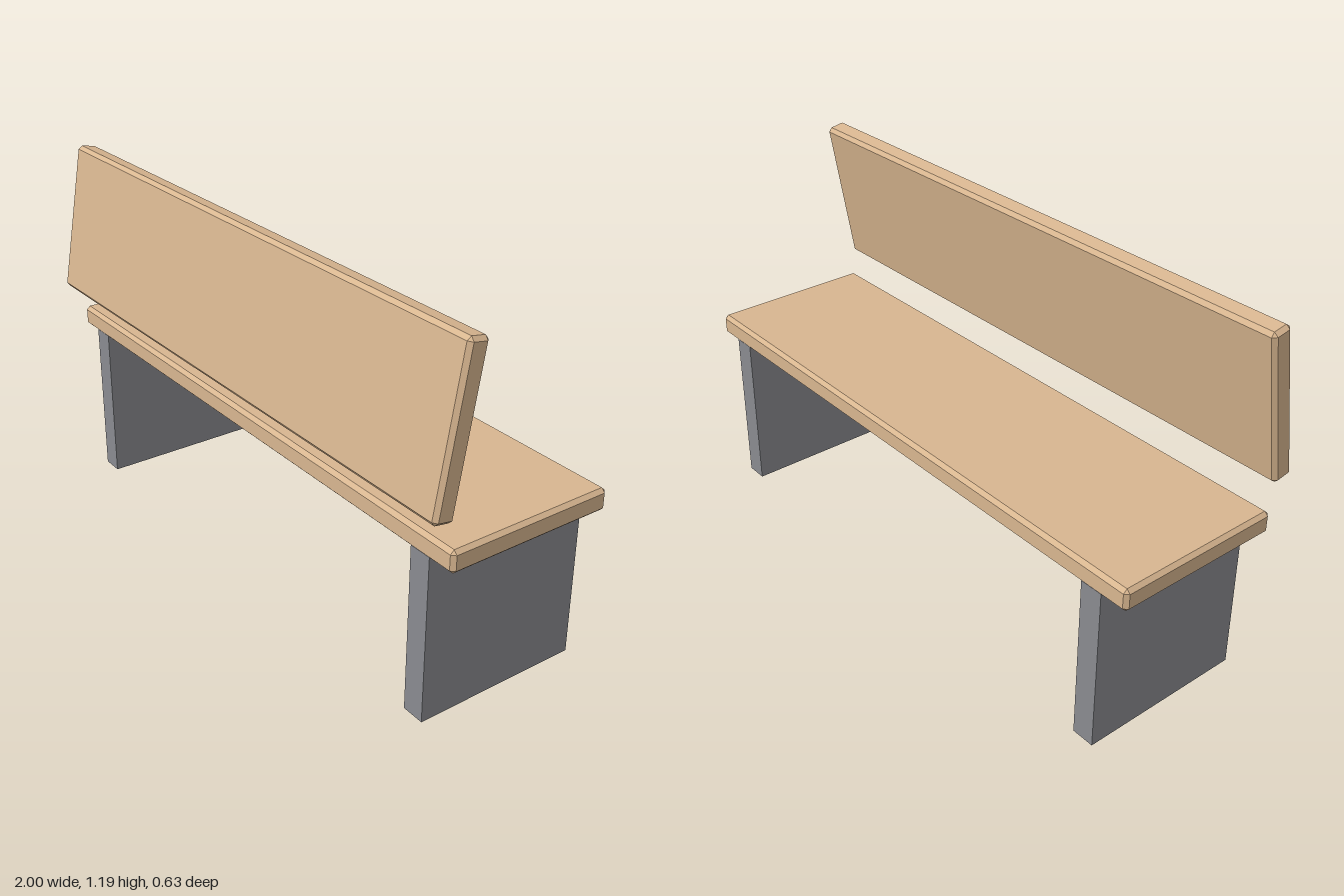
import * as THREE from 'three';
import { ConvexGeometry } from 'three/addons/geometries/ConvexGeometry.js';

const wood = new THREE.MeshStandardMaterial({ color: 0xd8b690 });
const stone = new THREE.MeshStandardMaterial({ color: 0x8a8b90 });

// Plank with every edge and corner chamfered by c
function plank(name, w, h, d, c = 0.012) {
  const points = [];
  for (const sx of [-1, 1]) for (const sy of [-1, 1]) for (const sz of [-1, 1]) {
    for (let axis = 0; axis < 3; axis++) {
      const p = new THREE.Vector3(w / 2 - c, h / 2 - c, d / 2 - c);
      p.setComponent(axis, p.getComponent(axis) + c);
      points.push(p.multiply(new THREE.Vector3(sx, sy, sz)));
    }
  }
  const mesh = new THREE.Mesh(new ConvexGeometry(points), wood);
  mesh.name = name;
  return mesh;
}

export function createModel() {
  const bench = new THREE.Group();
  bench.name = 'bench';

  // Seat
  const seat = plank('seat', 2, 0.072, 0.56);
  seat.position.set(0, 0.565, -0.035);
  bench.add(seat);

  // Backrest, its top tilted towards -z
  const backrest = plank('backrest', 2, 0.5, 0.07);
  backrest.position.set(0, 0.938, 0.238);
  backrest.rotation.x = -THREE.MathUtils.degToRad(10);
  bench.add(backrest);

  // Slab legs
  for (const side of [-1, 1]) {
    const leg = new THREE.Mesh(new THREE.BoxGeometry(0.075, 0.54, 0.56), stone);
    leg.name = side > 0 ? 'leftLeg' : 'rightLeg';
    leg.position.set(side * 0.872, 0.27, -0.035);
    bench.add(leg);
  }
  return bench;
}
